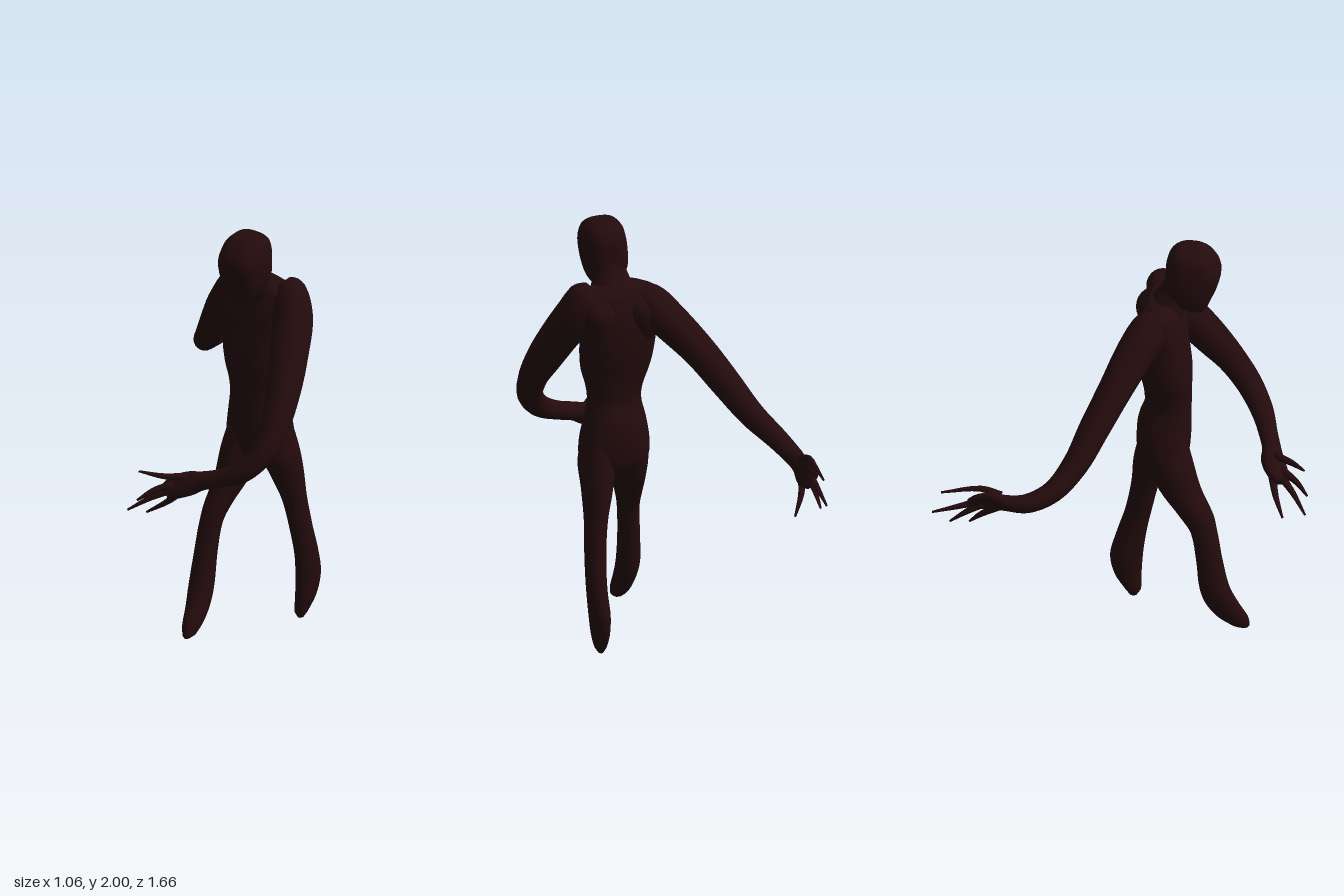
import * as THREE from 'three';

const skin = new THREE.MeshStandardMaterial({ color: 0x240b0d });
skin.name = 'dark umber';
const V = (x, y, z) => new THREE.Vector3(x, y, z);

// Skin a smooth body through sections [x, y, z, radiusA, radiusB], ordered downwards
// or outwards. Level sections lie flat (A along x, B along z); others face the path.
// A power below 1 makes the sections squarer.
function loft(name, sections, { level = false, steps = 5, sides = 20, power = 1 } = {}) {
  const centres = new THREE.CatmullRomCurve3(sections.map(s => V(s[0], s[1], s[2])));
  const radii = new THREE.CatmullRomCurve3(
    sections.map(s => V(s[3], s[4] ?? s[3], 0)), false, 'catmullrom', 0.5);
  const n = (sections.length - 1) * steps;
  const pos = [], index = [];
  const add = p => pos.push(p.x, p.y, p.z);
  const bend = k => Math.sign(k) * Math.abs(k) ** power;
  let u = V(1, 0, 0);
  for (let i = 0; i <= n; i++) {
    const c = centres.getPoint(i / n), r = radii.getPoint(i / n);
    let v = V(0, 0, 1);
    if (!level) {
      const t = centres.getTangent(i / n);
      if (i === 0) u = Math.abs(t.y) > 0.8 ? V(1, 0, 0) : V(0, 1, 0);
      u = u.clone().addScaledVector(t, -u.dot(t)).normalize();
      v = u.clone().cross(t);
    }
    for (let j = 0; j < sides; j++) {
      const a = j / sides * Math.PI * 2;
      add(c.clone().addScaledVector(u, bend(Math.cos(a)) * Math.max(r.x, 0.001))
        .addScaledVector(v, bend(Math.sin(a)) * Math.max(r.y, 0.001)));
    }
  }
  for (let i = 0; i < n; i++) for (let j = 0; j < sides; j++) {
    const a = i * sides + j, b = i * sides + (j + 1) % sides;
    index.push(a, b, a + sides, b, b + sides, a + sides);
  }
  // close both ends
  add(centres.getPoint(0));
  add(centres.getPoint(1));
  const f = (n + 1) * sides, e = n * sides;
  for (let j = 0; j < sides; j++) {
    const k = (j + 1) % sides;
    index.push(f, k, j, f + 1, e + j, e + k);
  }
  // keep the faces outward whichever way the section frame turns
  let volume = 0;
  const p = i => V(pos[3 * i], pos[3 * i + 1], pos[3 * i + 2]);
  for (let i = 0; i < index.length; i += 3)
    volume += p(index[i]).dot(p(index[i + 1]).cross(p(index[i + 2])));
  if (volume < 0) index.reverse();
  const g = new THREE.BufferGeometry();
  g.setAttribute('position', new THREE.Float32BufferAttribute(pos, 3));
  g.setIndex(index);
  g.computeVertexNormals();
  const mesh = new THREE.Mesh(g, skin);
  mesh.name = name;
  return mesh;
}

// Thin tapering fingers, each given as root, knuckle and tip
function fingers(name, list) {
  const group = new THREE.Group();
  group.name = name;
  list.forEach(([root, knuckle, tip], i) => group.add(loft('finger' + (i + 1),
    [[...root, 0.019], [...knuckle, 0.014], [...tip, 0.005]], { sides: 8, steps: 4 })));
  return group;
}

export function createModel() {
  const model = new THREE.Group();
  model.name = 'figure';
  const flat = { level: true, sides: 28 };

  model.add(loft('head', [
    [0.19, 2.0, 0.27, 0.03, 0.03], [0.19, 1.993, 0.27, 0.062, 0.06],
    [0.189, 1.965, 0.274, 0.088, 0.095], [0.187, 1.92, 0.281, 0.099, 0.119],
    [0.184, 1.87, 0.283, 0.103, 0.125], [0.18, 1.8, 0.272, 0.1, 0.117],
    [0.177, 1.75, 0.274, 0.09, 0.094], [0.173, 1.705, 0.288, 0.071, 0.062],
    [0.17, 1.68, 0.305, 0.037, 0.027]], { ...flat, power: 0.72 }));

  model.add(loft('neck', [
    [0.18, 1.88, 0.24, 0.075, 0.075], [0.18, 1.79, 0.212, 0.076, 0.07],
    [0.175, 1.71, 0.172, 0.098, 0.088], [0.17, 1.62, 0.14, 0.135, 0.09]], flat));

  model.add(loft('torso', [
    [0.165, 1.735, 0.14, 0.11, 0.05], [0.16, 1.7, 0.14, 0.175, 0.085],
    [0.16, 1.6, 0.14, 0.185, 0.113], [0.16, 1.48, 0.143, 0.176, 0.123],
    [0.163, 1.38, 0.155, 0.168, 0.122], [0.166, 1.31, 0.165, 0.155, 0.115],
    [0.168, 1.23, 0.17, 0.13, 0.107],
    [0.168, 1.16, 0.17, 0.123, 0.106], [0.17, 1.07, 0.155, 0.142, 0.12],
    [0.175, 0.96, 0.15, 0.162, 0.122], [0.175, 0.87, 0.15, 0.15, 0.108],
    [0.175, 0.81, 0.15, 0.06, 0.06]], { ...flat, power: 0.9 }));

  // Right leg strides forward, left leg trails behind
  model.add(loft('rightLeg', [
    [0.105, 1.0, 0.17, 0.07, 0.09], [0.095, 0.88, 0.185, 0.089, 0.105],
    [0.08, 0.75, 0.23, 0.078, 0.096], [0.052, 0.62, 0.31, 0.058, 0.078],
    [0.04, 0.54, 0.345, 0.05, 0.061], [0.029, 0.4, 0.37, 0.05, 0.06],
    [0.024, 0.25, 0.395, 0.053, 0.069], [0.03, 0.16, 0.43, 0.046, 0.076],
    [0.036, 0.09, 0.475, 0.037, 0.07], [0.04, 0.045, 0.51, 0.025, 0.042],
    [0.04, 0.033, 0.52, 0.012, 0.025]], flat));
  model.add(loft('leftLeg', [
    [0.25, 1.0, 0.14, 0.07, 0.09], [0.265, 0.88, 0.13, 0.083, 0.105],
    [0.277, 0.76, 0.09, 0.07, 0.088], [0.294, 0.62, 0.055, 0.053, 0.064],
    [0.308, 0.46, 0.022, 0.048, 0.06], [0.313, 0.32, -0.012, 0.046, 0.067],
    [0.307, 0.2, -0.033, 0.047, 0.074], [0.3, 0.1, -0.024, 0.041, 0.06],
    [0.292, 0.03, -0.002, 0.028, 0.036], [0.29, 0.0, 0.0, 0.012, 0.016]], flat));

  // Right arm sweeps out and back
  model.add(loft('rightArm', [
    [0.09, 1.66, 0.13, 0.06], [0.03, 1.64, 0.1, 0.088],
    [-0.05, 1.56, 0.04, 0.088], [-0.165, 1.43, -0.04, 0.077],
    [-0.265, 1.29, -0.12, 0.07], [-0.36, 1.155, -0.195, 0.06],
    [-0.45, 1.06, -0.29, 0.05], [-0.49, 1.015, -0.4, 0.044],
    [-0.49, 1.01, -0.49, 0.044, 0.034], [-0.487, 1.015, -0.55, 0.066, 0.026],
    [-0.488, 1.01, -0.61, 0.068, 0.018], [-0.493, 0.995, -0.66, 0.045, 0.012]]));
  model.add(fingers('rightFingers', [
    [[-0.488, 1.05, -0.52], [-0.495, 1.085, -0.61], [-0.499, 1.055, -0.79]],
    [[-0.49, 1.02, -0.6], [-0.497, 0.99, -0.69], [-0.5, 0.945, -0.83]],
    [[-0.49, 1.0, -0.6], [-0.497, 0.96, -0.67], [-0.499, 0.9, -0.75]],
    [[-0.485, 0.985, -0.53], [-0.455, 0.92, -0.61], [-0.405, 0.84, -0.67]]]));

  // Left arm bends forward and across the body
  model.add(loft('leftArm', [
    [0.285, 1.73, 0.13, 0.04], [0.32, 1.695, 0.13, 0.076],
    [0.362, 1.59, 0.162, 0.092], [0.405, 1.46, 0.25, 0.089],
    [0.44, 1.33, 0.34, 0.081], [0.463, 1.2, 0.43, 0.067],
    [0.45, 1.08, 0.51, 0.059], [0.38, 0.985, 0.575, 0.051],
    [0.28, 0.935, 0.612, 0.043], [0.2, 0.91, 0.635, 0.043],
    [0.14, 0.885, 0.647, 0.058, 0.048], [0.08, 0.86, 0.675, 0.06, 0.038],
    [0.045, 0.84, 0.705, 0.042, 0.022]]));
  model.add(fingers('leftFingers', [
    [[0.13, 0.92, 0.66], [0.06, 0.935, 0.74], [-0.03, 0.96, 0.805]],
    [[0.08, 0.88, 0.69], [0.02, 0.86, 0.765], [-0.03, 0.82, 0.82]],
    [[0.07, 0.85, 0.69], [0.0, 0.815, 0.75], [-0.085, 0.755, 0.815]],
    [[0.09, 0.83, 0.65], [0.03, 0.77, 0.67], [-0.055, 0.71, 0.71]]]));

  // Shoulder blades
  for (const [side, x, z] of [['left', 0.265, 0.09], ['right', 0.06, 0.078]])
    model.add(loft(side + 'ShoulderBlade', [
      [x, 1.72, z + 0.03, 0.03, 0.03], [x, 1.64, z, 0.08, 0.07],
      [x, 1.54, z + 0.005, 0.07, 0.065], [x, 1.4, z + 0.04, 0.02, 0.03]], flat));

  return model;
}
